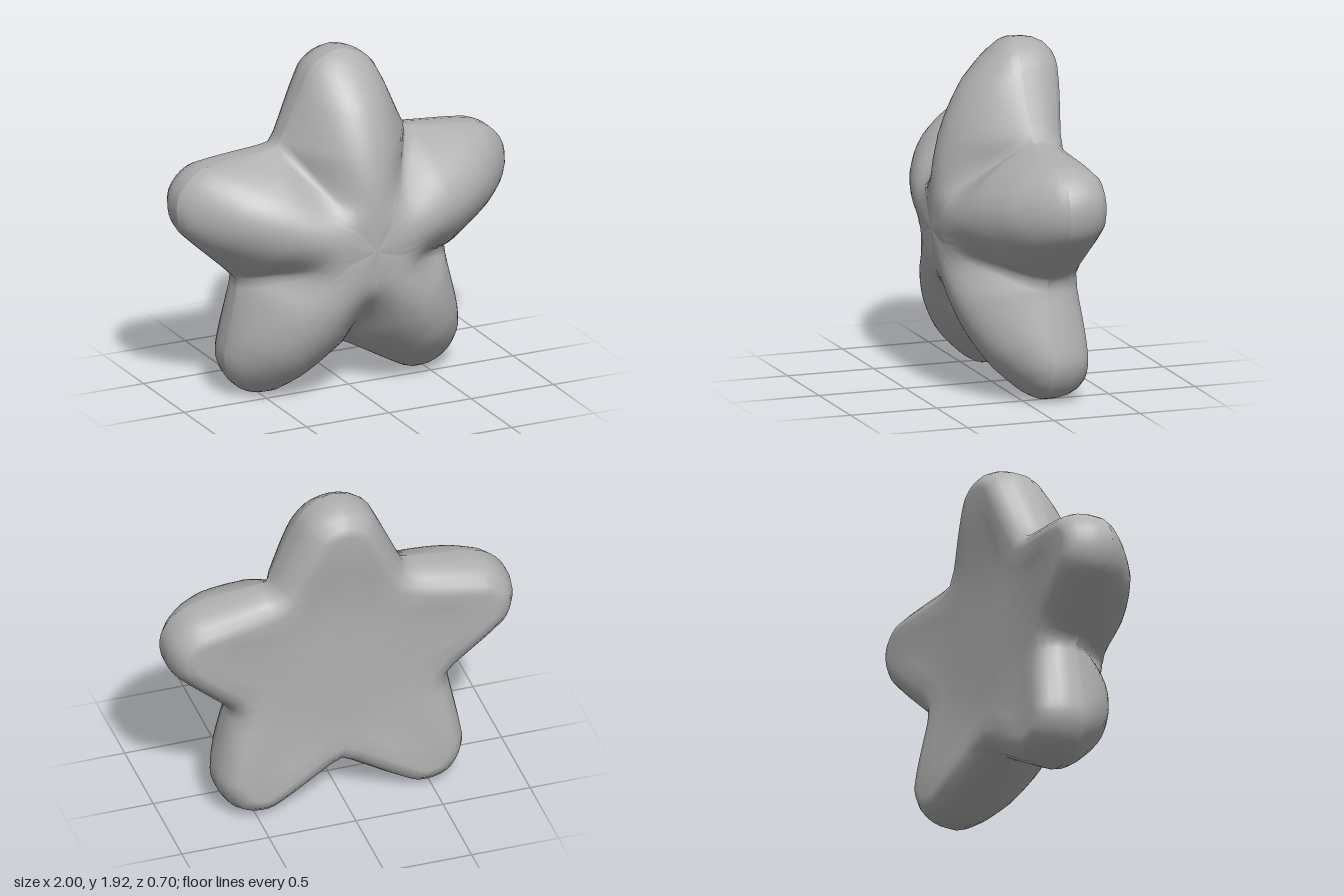
import * as THREE from 'three';

const CENTER_Y = 0.885;
const ARMS = 5;
const PER_ARM = 28;
const HALF = Math.PI / ARMS;

// Piecewise-linear lookup through [input, output] pairs
function lookup(pairs, x) {
  for (let i = 1; i < pairs.length; i++) {
    const [x0, y0] = pairs[i - 1], [x1, y1] = pairs[i];
    if (x <= x1) return y0 + (y1 - y0) * Math.max(0, (x - x0) / (x1 - x0));
  }
  return pairs[pairs.length - 1][1];
}

// Half outline of one arm: distance along the arm, half width
const half = [[0.536, 0.389], [0.575, 0.366], [0.70, 0.308], [0.86, 0.234], [0.95, 0.185], [1.012, 0.105], [1.04, 0]];
// Front height along an arm's ridge, and along the valley between two arms
const ridge = [[0, 0.35], [0.2, 0.348], [0.37, 0.33], [0.5, 0.3], [0.62, 0.258], [0.72, 0.21], [0.8, 0.165], [0.915, 0.065], [1.0, -0.03], [1.04, -0.1]];
const valley = [[0, 0.35], [0.2, 0.34], [0.28, 0.31], [0.4, 0.19], [0.52, 0.06], [0.6, -0.02], [0.66, -0.1]];

const backZ = (u) => -0.29 - 0.06 * THREE.MathUtils.smoothstep(u, 0.35, 0.95);

function frontZ(u, v) {
  const width = u < 0.536 ? u * Math.tan(HALF) : lookup(half, u);
  const s = Math.min(1, Math.abs(v) / Math.max(width, 1e-4));
  const side = lookup(valley, u / Math.cos(HALF));
  const power = THREE.MathUtils.lerp(1.15, 0.6, THREE.MathUtils.smoothstep(u, 0.3, 0.9));
  return side + (lookup(ridge, u) - side) * Math.pow(1 - s * s, power);
}

// One arm outline from notch to notch, in arm coordinates
function armOutline() {
  const pts = [...half.map(([u, v]) => [u, -v]), ...half.slice(0, -1).reverse()];
  const curve = new THREE.CatmullRomCurve3(pts.map(([u, v]) => new THREE.Vector3(u, v, 0)), false, 'centripetal');
  const out = [];
  for (let i = 0; i < PER_ARM; i++) {
    const p = curve.getPointAt(i / PER_ARM);
    const t = curve.getTangentAt(i / PER_ARM);
    // At the notch the normal points straight out from the centre
    const n = i === 0 ? [Math.cos(HALF), -Math.sin(HALF)] : [t.y, -t.x];
    out.push({ u: p.x, v: p.y, n });
  }
  return out;
}

function starGeometry() {
  const outline = armOutline();
  const rings = [];
  // Domed front, from the middle to the rim
  const FRONT = 20;
  for (let k = 0; k <= FRONT; k++) {
    const t = Math.sin((k / FRONT) * Math.PI / 2);
    rings.push((p) => [p.u * t, p.v * t, k === FRONT ? -0.1 : frontZ(p.u * t, p.v * t)]);
  }
  // Rounded edge: inset and depth as a share of the way to the back
  for (const [inset, f] of [[0, 0.3], [0.012, 0.55], [0.04, 0.78], [0.08, 0.94], [0.13, 1]]) {
    rings.push((p) => [p.u - p.n[0] * inset, p.v - p.n[1] * inset, THREE.MathUtils.lerp(-0.1, backZ(p.u), f)]);
  }
  // Slightly hollow back
  for (const t of [0.8, 0.6, 0.4, 0.2, 0]) {
    rings.push((p) => {
      const u = (p.u - p.n[0] * 0.13) * t, v = (p.v - p.n[1] * 0.13) * t;
      return [u, v, backZ(Math.hypot(u, v))];
    });
  }

  const count = ARMS * PER_ARM;
  const positions = [], indices = [];
  rings.forEach((ring, r) => {
    for (let a = 0; a < ARMS; a++) {
      const angle = Math.PI / 2 + a * 2 * HALF;
      const c = Math.cos(angle), s = Math.sin(angle);
      for (const p of outline) {
        const [u, v, z] = ring(p);
        positions.push(u * c - v * s, u * s + v * c + CENTER_Y, z);
      }
    }
    if (r === 0) return;
    for (let i = 0; i < count; i++) {
      const j = (i + 1) % count, p = (r - 1) * count, q = r * count;
      if (r < rings.length - 1) indices.push(p + i, q + i, q + j);
      else indices.push(p + i, q + i, p + j);
      if (r > 1 && r < rings.length - 1) indices.push(p + i, q + j, p + j);
    }
  });
  const geometry = new THREE.BufferGeometry();
  geometry.setAttribute('position', new THREE.Float32BufferAttribute(positions, 3));
  geometry.setIndex(indices);
  geometry.computeVertexNormals();
  return geometry;
}

export function createModel() {
  const group = new THREE.Group();
  group.name = 'puffyStar';
  const grey = new THREE.MeshStandardMaterial({ color: 0xb0b0b0 });
  grey.name = 'grey';
  const star = new THREE.Mesh(starGeometry(), grey);
  star.name = 'starBody';
  group.add(star);
  return group;
}
